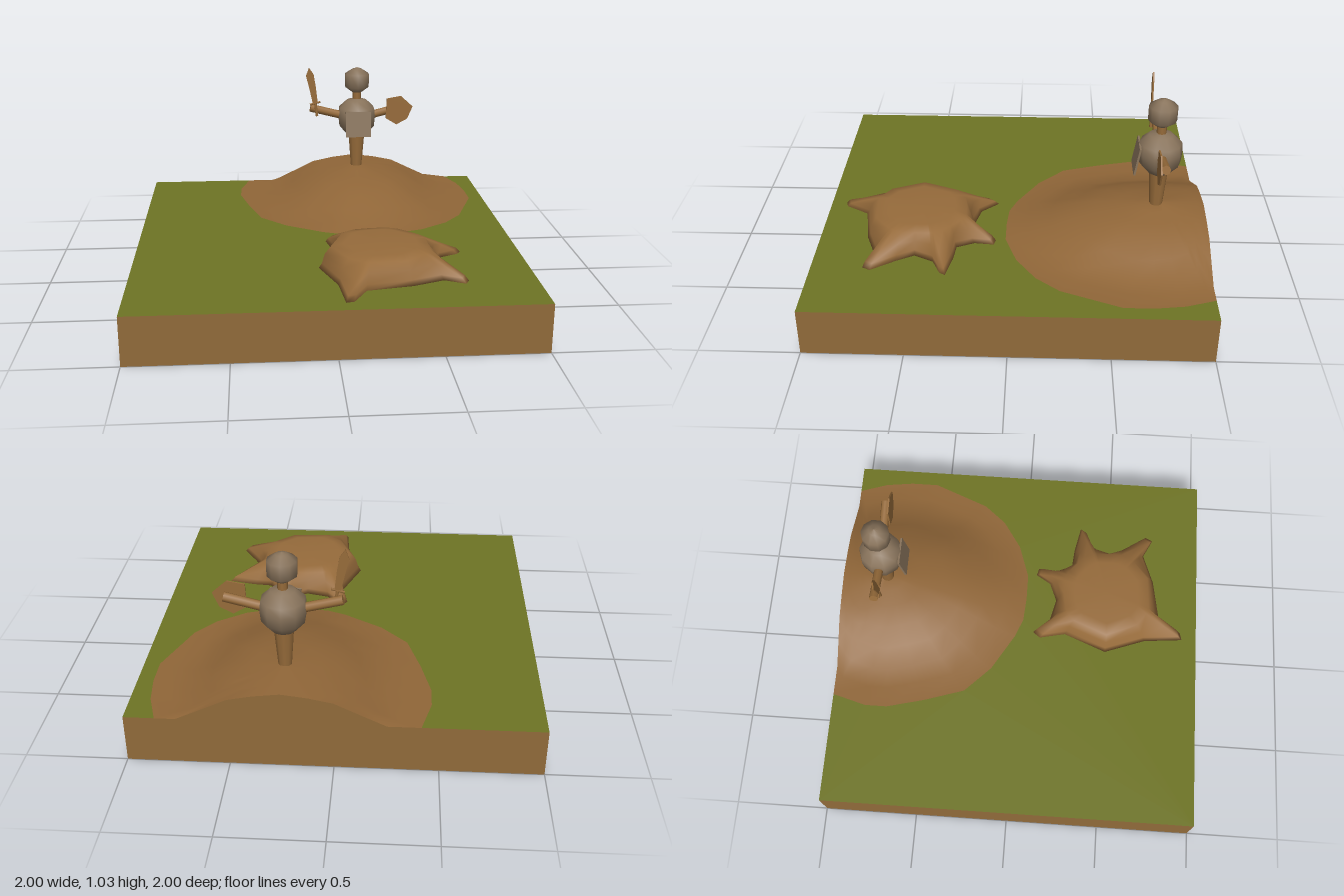
import * as THREE from 'three';
import { mergeVertices } from 'three/addons/utils/BufferGeometryUtils.js';

const GROUND = 0.25;

function material(name, color, side = THREE.FrontSide) {
  const m = new THREE.MeshStandardMaterial({ color, side });
  m.name = name;
  return m;
}

function part(parent, name, geometry, mat, x = 0, y = 0, z = 0) {
  const mesh = new THREE.Mesh(geometry, mat);
  mesh.name = name;
  mesh.position.set(x, y, z);
  parent.add(mesh);
  return mesh;
}

// Smooth skin over closed loops of [x, y, z], running from outer to inner
function skin(loops) {
  const n = loops[0].length, index = [];
  for (let j = 0; j < loops.length - 1; j++) {
    for (let i = 0; i < n; i++) {
      const a = j * n + i, b = j * n + (i + 1) % n;
      index.push(a + n, b, a, a + n, b + n, b);
    }
  }
  let g = new THREE.BufferGeometry();
  g.setAttribute('position', new THREE.Float32BufferAttribute(loops.flat(2), 3));
  g.setIndex(index);
  g = mergeVertices(g, 1e-4);
  g.computeVertexNormals();
  return g;
}

const shapeOf = pts => new THREE.Shape(pts.map(p => new THREE.Vector2(p[0], p[1])));
const plate = (pts, depth) => new THREE.ExtrudeGeometry(shapeOf(pts), { depth, bevelEnabled: false });

// Rod between two points
function rod(parent, name, from, to, r0, r1, sides, mat) {
  const a = new THREE.Vector3(...from), b = new THREE.Vector3(...to);
  const mesh = part(parent, name, new THREE.CylinderGeometry(r1, r0, a.distanceTo(b), sides), mat);
  mesh.position.copy(a).add(b).multiplyScalar(0.5);
  mesh.quaternion.setFromUnitVectors(new THREE.Vector3(0, 1, 0), b.sub(a).normalize());
  return mesh;
}

// Mound height: broad crown that falls to the ground, cut off at the back
function hillHeight(x, z) {
  const d = Math.hypot((x - 0.25) / 0.5, (z + 0.75) / (z < -0.75 ? 2 : 0.75));
  if (d >= 1) return GROUND;
  return d < 0.5 ? 0.425 - 0.1 * d : 0.375 - 0.25 * (d - 0.5);
}

function buildTerrain(root, mats) {
  const terrain = new THREE.Group();
  terrain.name = 'terrain';
  root.add(terrain);

  // Outline of the bare earth, ending along the back edge
  const outline = [
    [0.85, -1], [0.9, -0.85], [0.92, -0.7], [0.92, -0.55], [0.8, -0.25], [0.7, -0.13], [0.55, -0.03],
    [0.37, 0.03], [0.23, 0.03], [0.1, 0.02], [0, -0.02], [-0.2, -0.14], [-0.34, -0.28],
    [-0.41, -0.5], [-0.46, -0.7], [-0.46, -0.82], [-0.41, -1],
  ];
  const backEdge = [-0.25, -0.12, 0, 0.12, 0.25, 0.38, 0.5, 0.62, 0.75].map(x => [x, -1]);
  const rim = [...outline, ...backEdge];
  const loops = [1, 0.85, 0.7, 0.55, 0.4, 0.25, 0.12, 0].map(s => rim.map(([px, pz]) => {
    const x = 0.25 + (px - 0.25) * s, z = -0.75 + (pz + 0.75) * s;
    return [x, hillHeight(x, z), z];
  }));
  part(terrain, 'earthMound', skin(loops), mats.earth);

  // Grass around the earth
  const grass = [...outline, [-1, -1], [-1, 1], [1, 1], [1, -1]].map(([x, z]) => [x, -z]);
  part(terrain, 'grass', new THREE.ShapeGeometry(shapeOf(grass)).rotateX(-Math.PI / 2), mats.grass, 0, GROUND, 0);

  // Side walls, open underneath
  for (const [name, turn] of [['frontWall', 0], ['leftWall', 1], ['rightWall', -1]]) {
    const g = new THREE.PlaneGeometry(2, GROUND).translate(0, GROUND / 2, 1).rotateY(turn * Math.PI / 2);
    part(terrain, name, g, mats.wall);
  }
  const back = [[1, 0], [1, GROUND], ...backEdge.map(([x]) => [-x, hillHeight(x, -1)]), [-1, GROUND], [-1, 0]];
  back.splice(2, backEdge.length, ...backEdge.map(([x]) => [-x, hillHeight(x, -1)]));
  part(terrain, 'backWall', new THREE.ShapeGeometry(shapeOf(back)).translate(0, 0, 1).rotateY(Math.PI), mats.wall);
}

function buildHide(root, mats) {
  // Ground outline [x, z, 1 at the tip of a limb]
  const outline = [
    [0.53, 0.49, 0], [0.58, 0.58, 0], [0.66, 0.7, 1], [0.64, 0.74, 1], [0.54, 0.69, 0], [0.38, 0.75, 0],
    [0.15, 0.79, 0], [0.08, 0.91, 1], [0.04, 0.92, 1], [0.02, 0.71, 0], [-0.06, 0.49, 0], [0.03, 0.26, 0],
    [0, 0.12, 1], [0.03, 0.08, 1], [0.11, 0.17, 0], [0.23, 0.2, 0], [0.33, 0.16, 0], [0.38, 0.08, 1],
    [0.42, 0.09, 1], [0.41, 0.19, 0], [0.45, 0.28, 0], [0.55, 0.29, 0], [0.69, 0.32, 1], [0.67, 0.35, 1], [0.58, 0.39, 0],
  ];
  const cx = 0.25, cz = 0.48;
  const ring = (scale, height) => outline.map(([x, z, tip]) => {
    const r = Math.hypot(x - cx, z - cz), s = scale(r) / r;
    return [cx + (x - cx) * s, tip ? height[1] : height[0], cz + (z - cz) * s];
  });
  const inner = r => Math.min(r, 0.29) * 0.86;
  const loops = [
    ring(() => 0, [0.27, 0.27]),
    ring(r => r * 0.6, [0.27, 0.26]),
    ring(r => r * 0.88, [0.255, 0.225]),
    ring(r => r, [0.25, 0.25]),
    ring(r => r * 0.95, [0.275, 0.275]),
    ring(r => (r + inner(r)) / 2, [0.325, 0.315]),
    ring(inner, [0.364, 0.364]),
    ring(r => inner(r) * 0.75, [0.377, 0.377]),
    ring(() => 0, [0.377, 0.377]),
  ];
  part(root, 'stretchedHide', skin(loops), mats.hide);
}

function buildFighter(root, mats) {
  const fighter = new THREE.Group();
  fighter.name = 'fighter';
  fighter.position.set(0.25, 0, -0.75);
  root.add(fighter);
  const turned = (pts, sides) =>
    new THREE.LatheGeometry(pts.map(p => new THREE.Vector2(...p)), sides);

  // Post, body, neck and head
  part(fighter, 'post', new THREE.CylinderGeometry(0.05, 0.033, 0.22, 10), mats.wood, 0, 0.52, 0);
  part(fighter, 'body', turned(
    [[0, 0.61], [0.06, 0.615], [0.108, 0.67], [0.114, 0.73], [0.108, 0.78], [0.06, 0.825], [0, 0.84]], 10), mats.metal);
  part(fighter, 'neck', new THREE.CylinderGeometry(0.025, 0.025, 0.08, 8), mats.wood, 0, 0.85, 0);
  part(fighter, 'head', turned(
    [[0, 0.866], [0.03, 0.876], [0.073, 0.908], [0.073, 0.985], [0.03, 1.014], [0, 1.025]], 10), mats.metal);

  // Tilted chest plate
  const chest = part(fighter, 'chestPlate', new THREE.BoxGeometry(0.15, 0.15, 0.01), mats.metal, 0, 0.7, 0.117);
  chest.rotation.x = -0.16;

  // Arms
  rod(fighter, 'rightArm', [-0.09, 0.732, 0], [-0.28, 0.78, 0], 0.024, 0.024, 8, mats.wood);
  rod(fighter, 'leftArm', [0.09, 0.732, 0], [0.28, 0.78, 0], 0.024, 0.024, 8, mats.wood);

  // Shield
  part(fighter, 'shield', plate(
    [[0.18, 0.835], [0.175, 0.715], [0.24, 0.675], [0.305, 0.71], [0.337, 0.785], [0.265, 0.85]], 0.008), mats.wood, 0, 0, 0.022);

  // Sword
  const sword = new THREE.Group();
  sword.name = 'sword';
  sword.position.z = 0.024;
  fighter.add(sword);
  part(sword, 'blade', plate(
    [[-0.268, 0.815], [-0.238, 0.82], [-0.25, 0.92], [-0.262, 0.99], [-0.29, 1.03], [-0.307, 0.98], [-0.287, 0.9]], 0.008), mats.wood);
  rod(sword, 'guard', [-0.285, 0.806, 0.004], [-0.222, 0.822, 0.004], 0.006, 0.006, 6, mats.wood);
  rod(sword, 'grip', [-0.252, 0.815, 0.002], [-0.242, 0.735, 0.002], 0.009, 0.009, 6, mats.wood);
}

export function createModel() {
  const mats = {
    grass: material('grass green', 0x6e7424, THREE.DoubleSide),
    earth: material('bare earth', 0x906638, THREE.DoubleSide),
    wall: material('soil brown', 0x906a3a, THREE.DoubleSide),
    hide: material('hide brown', 0x966b3b, THREE.DoubleSide),
    wood: material('wood brown', 0x966b3a),
    metal: material('dull metal', 0x88735b),
  };
  const model = new THREE.Group();
  model.name = 'trainingGround';
  buildTerrain(model, mats);
  buildHide(model, mats);
  buildFighter(model, mats);
  return model;
}
